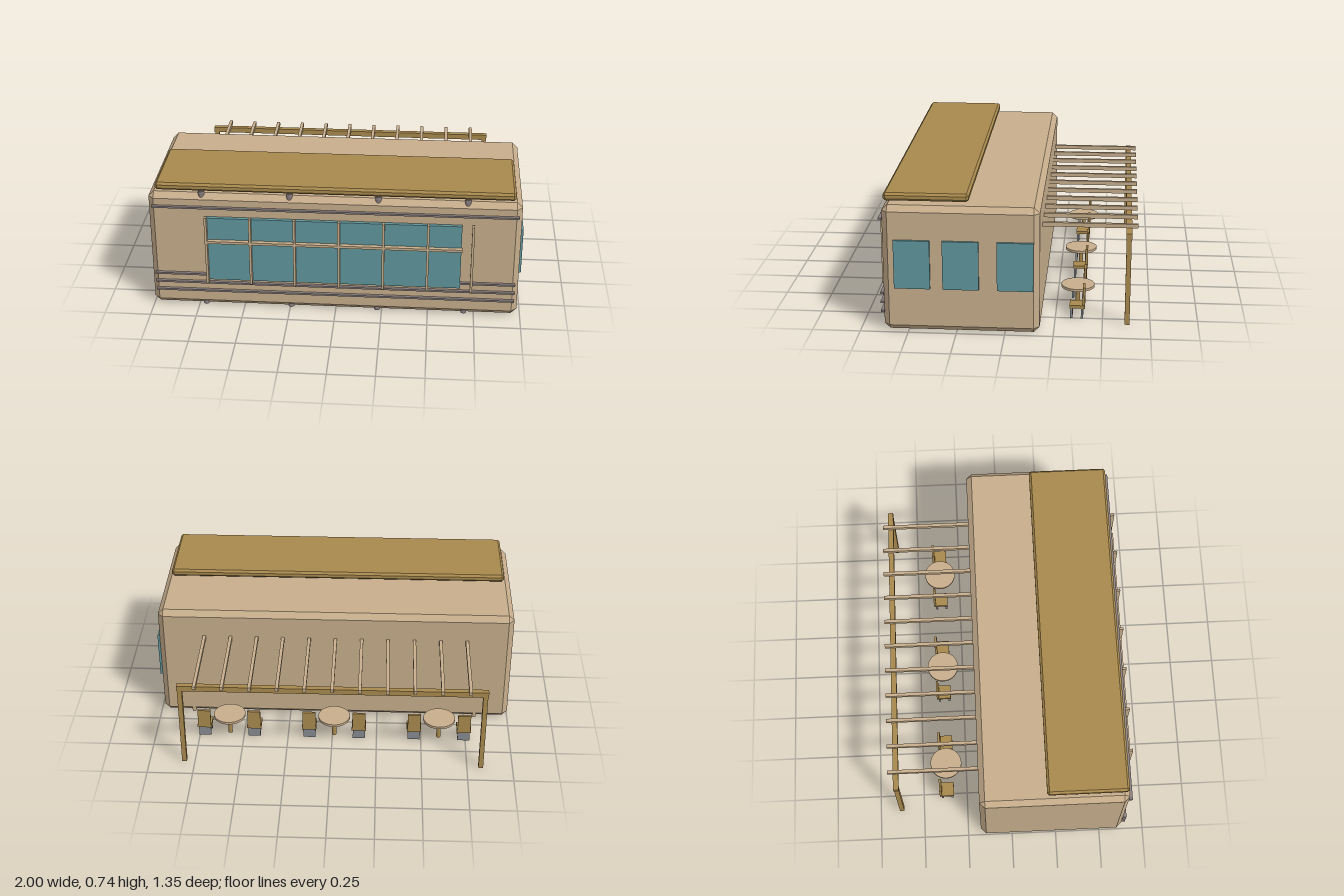
import * as THREE from 'three';
import { ConvexGeometry } from 'three/addons/geometries/ConvexGeometry.js';

const material = (name, color) => {
  const m = new THREE.MeshStandardMaterial({ color });
  m.name = name;
  return m;
};

// Box with every edge and corner cut flat by c
function chamferBox(w, h, d, c) {
  const pts = [];
  for (const x of [-1, 1]) for (const y of [-1, 1]) for (const z of [-1, 1]) {
    const [a, b, e] = [w / 2, h / 2, d / 2];
    pts.push(
      new THREE.Vector3(x * a, y * (b - c), z * (e - c)),
      new THREE.Vector3(x * (a - c), y * b, z * (e - c)),
      new THREE.Vector3(x * (a - c), y * (b - c), z * e));
  }
  return new ConvexGeometry(pts);
}

export function createModel() {
  const root = new THREE.Group();
  root.name = 'cafeBuilding';
  const tan = material('tan', 0xc6ad8b);
  const gold = material('goldenWood', 0xa8894d);
  const teal = material('tealGlass', 0x60969c);
  const metal = material('mauveMetal', 0x8c8080);
  const grey = material('greyMetal', 0x858b90);

  const add = (parent, name, geo, mat, x, y, z) => {
    const m = new THREE.Mesh(geo, mat);
    m.name = name;
    m.position.set(x, y, z);
    parent.add(m);
    return m;
  };
  // Box given by its minimum and maximum on each axis
  const span = (parent, name, mat, [x0, x1], [y0, y1], [z0, z1], c = 0) => {
    const s = [x1 - x0, y1 - y0, z1 - z0];
    const geo = c ? chamferBox(...s, c) : new THREE.BoxGeometry(...s);
    return add(parent, name, geo, mat, (x0 + x1) / 2, (y0 + y1) / 2, (z0 + z1) / 2);
  };
  const group = (name) => {
    const g = new THREE.Group();
    g.name = name;
    root.add(g);
    return g;
  };

  // Main body and raised roof panel
  span(root, 'body', tan, [-1, 0.982], [0.002, 0.678], [-0.178, 0.628], 0.03);
  span(root, 'roofPanel', gold, [-0.96, 0.945], [0.694, 0.736], [0.184, 0.622], 0.012);

  // Front columns, showing above and below the body
  const columns = group('columns');
  for (const x of [-0.715, -0.245, 0.225, 0.695]) {
    add(columns, 'column', new THREE.CylinderGeometry(0.016, 0.016, 0.69, 10), metal, x, 0.345, 0.603);
    add(columns, 'columnCap', new THREE.SphereGeometry(0.018, 10, 6), metal, x, 0.678, 0.603);
  }
  for (const x of [-0.81, 0.81])
    add(columns, 'rearFoot', new THREE.CylinderGeometry(0.012, 0.012, 0.03, 10), tan, x, 0.015, -0.163);

  // Horizontal trim rails across the front
  const rails = group('frontRails');
  for (const y of [0.1, 0.15, 0.2, 0.605])
    span(rails, 'rail', metal, [-0.98, 0.965], [y - 0.005, y + 0.005], [0.626, 0.645]);

  // Front window with mullions
  const front = group('frontWindow');
  span(front, 'glass', teal, [-0.685, 0.67], [0.175, 0.55], [0.626, 0.648]);
  for (let i = 0; i < 7; i++) {
    const x = -0.69 + i * 0.2365;
    span(front, 'mullion', tan, [x - 0.0065, x + 0.0065], [0.165, 0.56], [0.647, 0.673]);
  }
  span(front, 'crossBar', tan, [-0.69, 0.675], [0.408, 0.422], [0.648, 0.672]);

  // Three windows on the +x end
  const side = group('sideWindows');
  for (const z of [0.475, 0.225, -0.054])
    span(side, 'sideWindow', teal, [0.98, 0.995], [0.24, 0.5], [z - 0.093, z + 0.093]);

  // Pergola at the back
  const pergola = group('pergola');
  span(pergola, 'beam', gold, [-0.842, 0.823], [0.475, 0.506], [-0.645, -0.615]);
  for (const x of [-0.826, 0.808])
    span(pergola, 'post', gold, [x - 0.013, x + 0.013], [0, 0.476], [-0.642, -0.616]);
  for (let i = 0; i < 11; i++) {
    const x = -0.745 + i * 0.147;
    span(pergola, 'rafter', tan, [x - 0.009, x + 0.009], [0.505, 0.527], [-0.675, -0.17]);
  }

  // Round tables, each with a chair on either side
  for (const tx of [-0.6, -0.01, 0.58]) {
    const set = group('tableSet');
    set.position.set(tx, 0, -0.364);
    add(set, 'tableTop', new THREE.CylinderGeometry(0.089, 0.089, 0.014, 32), tan, 0, 0.123, 0);
    add(set, 'tableLeg', new THREE.CylinderGeometry(0.012, 0.012, 0.117, 12), gold, 0, 0.0585, 0);
    for (const x of [-0.14, 0.14]) {
      const w = [x - 0.04, x + 0.04];
      span(set, 'seat', gold, w, [0.058, 0.075], [-0.042, 0.039]);
      span(set, 'chairBack', gold, [x - 0.036, x + 0.036], [0.075, 0.174], [-0.043, -0.03]);
      for (const z of [-0.027, 0.029])
        span(set, 'chairLegs', grey, [x - 0.034, x + 0.034], [0, 0.058], [z - 0.006, z + 0.006]);
    }
  }
  return root;
}
